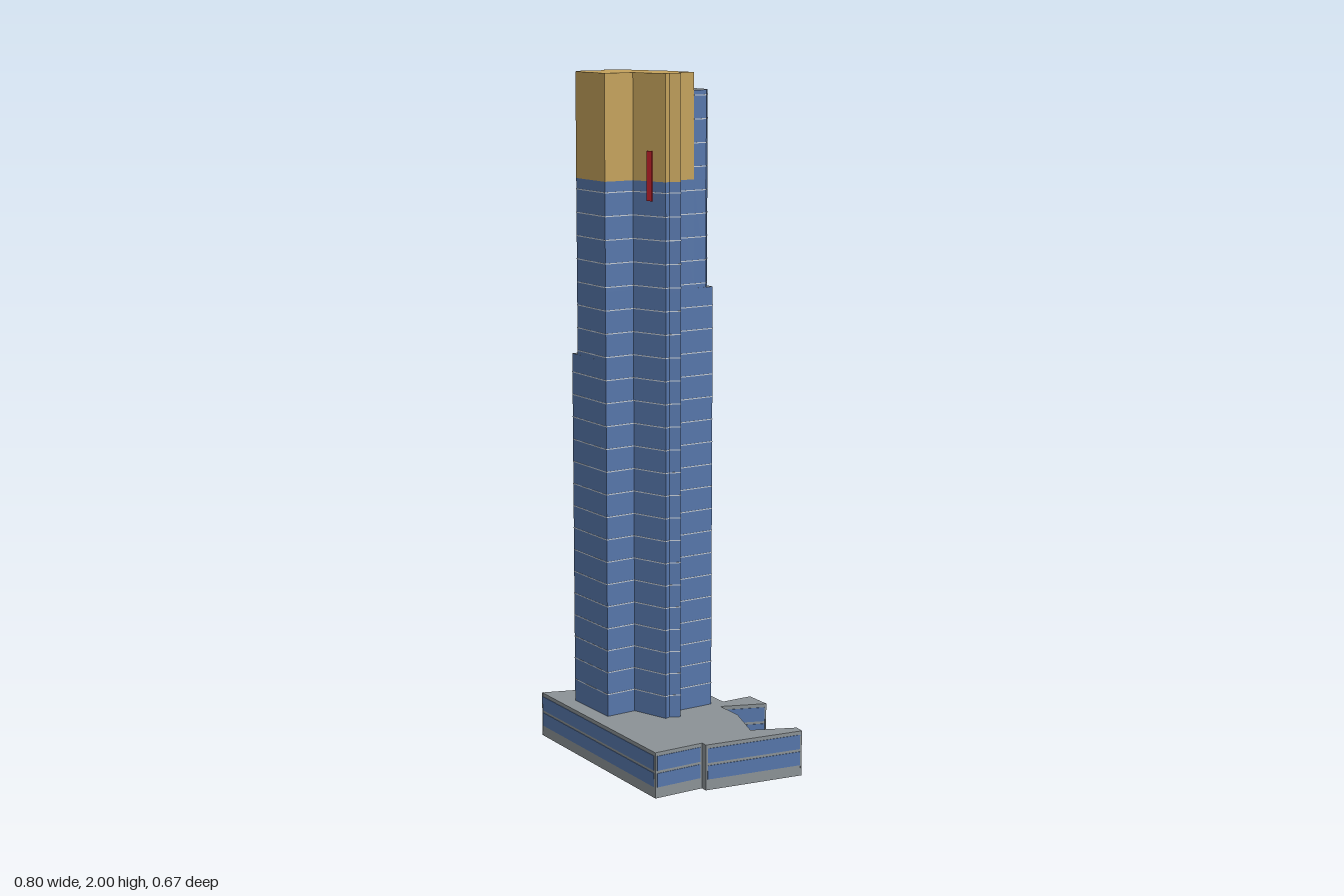
import * as THREE from 'three';
import { mergeGeometries } from 'three/addons/utils/BufferGeometryUtils.js';

const mat = (name, color) => {
  const m = new THREE.MeshStandardMaterial({ color });
  m.name = name;
  return m;
};

// Vertical prism over an outline of [x, z] points.
function prism(outline, y0, y1) {
  const shape = new THREE.Shape(outline.map(([x, z]) => new THREE.Vector2(x, -z)));
  const g = new THREE.ExtrudeGeometry(shape, { depth: y1 - y0, bevelEnabled: false });
  return g.rotateX(-Math.PI / 2).translate(0, y0, 0);
}

// Thin box on the edge a-b, from fraction t0 to t1, lying between offsets o0 and o1 outside the wall.
function plate(a, b, t0, t1, y0, y1, o0, o1, tilt = 0) {
  const dx = b[0] - a[0], dz = b[1] - a[1], len = Math.hypot(dx, dz);
  const t = (t0 + t1) / 2, o = (o0 + o1) / 2;
  return new THREE.BoxGeometry(len * (t1 - t0), y1 - y0, o1 - o0)
    .rotateZ(tilt)
    .rotateY(Math.atan2(-dz, dx))
    .translate(a[0] + dx * t + dz / len * o, (y0 + y1) / 2, a[1] + dz * t - dx / len * o);
}

// Strip running diagonally over the edge a-b from (t0, y0) to (t1, y1).
function diagonal(a, b, t0, t1, y0, y1, width) {
  const len = Math.hypot(b[0] - a[0], b[1] - a[1]);
  const run = (t1 - t0) * len, rise = y1 - y0, tm = (t0 + t1) / 2, ym = (y0 + y1) / 2;
  const half = width / len / 2, l = Math.hypot(run, rise) / 2;
  return plate(a, b, tm - half, tm + half, ym - l, ym + l, -0.001, 0.004, -Math.atan2(run, rise));
}

const edges = (o) => o.map((p, i) => [p, o[(i + 1) % o.length]]);

export function createModel() {
  const root = new THREE.Group();
  const blue = mat('blueGlass', 0x5676aa);
  const gold = mat('goldCladding', 0xc4a25c);
  const grey = mat('greyConcrete', 0x8b9296);
  const pale = mat('paleFloorLine', 0xc4ccd6);
  const red = mat('redSign', 0xc0222a);

  const add = (name, geometry, material, parent = root) => {
    const m = new THREE.Mesh(geometry, material);
    m.name = name;
    parent.add(m);
    return m;
  };

  // Podium: open underneath, thin walls and roof slab
  const podium = new THREE.Group();
  podium.name = 'podium';
  root.add(podium);
  const base = [
    [-0.4, -0.16], [-0.18, -0.236], [-0.051, -0.335], [-0.033, -0.315], [-0.011, -0.334],
    [0.153, -0.132], [0.23, -0.19], [0.283, -0.127], [0.149, -0.086], [0.205, -0.017],
    [0.252, 0.114], [0.384, 0.079], [0.4, 0.105], [0.136, 0.255], [0.124, 0.239], [0.001, 0.333],
  ];
  const H = 0.135;
  add('podiumRoof', prism(base, H - 0.004, H), grey, podium);
  add('podiumWalls', mergeGeometries(
    edges(base).map(([a, b]) => plate(a, b, 0, 1, 0, H, -0.004, 0))), grey, podium);

  // Two rows of windows on every long wall
  const windows = [];
  for (const [a, b] of edges(base)) {
    const len = Math.hypot(b[0] - a[0], b[1] - a[1]);
    if (len < 0.05) continue;
    const inset = 0.006 / len;
    for (const [y0, y1] of [[0.032, 0.073], [0.081, 0.124]])
      windows.push(plate(a, b, inset, 1 - inset, y0, y1, -0.001, 0.0015));
  }
  add('podiumWindows', mergeGeometries(windows), blue, podium);

  // Tower outlines: the west and east corners are cut off higher up
  const north = [[-0.196, -0.178], [-0.209, -0.225], [-0.175, -0.217], [-0.16, -0.234],
    [-0.059, -0.172], [-0.046, -0.18]];
  const south = [[0.068, -0.067], [0.023, -0.032], [0.04, 0.019], [0.008, 0.026],
    [-0.001, 0.039], [-0.1, -0.021], [-0.172, 0.039]];
  const wingBack = [0.018, -0.236];
  const westFull = [[-0.289, -0.099]];
  const westCut = [[-0.27, -0.077], [-0.27, -0.118]];
  const eastFull = [wingBack, [0.119, -0.107]];
  const eastCut = [wingBack, [0.1, -0.133], [0.1, -0.094]];
  const sections = [
    ['lowerTower', [...north, ...eastFull, ...south, ...westFull], H - 0.002, 1.19],
    ['middleTower', [...north, ...eastFull, ...south, ...westCut], 1.19, 1.39],
    ['upperTower', [...north, ...eastCut, ...south, ...westCut], 1.39, 1.7],
    ['eastWingTop', [north[5], ...eastCut, south[0]], 1.7, 1.95],
  ];
  const step = 0.0667;
  for (const [name, outline, y0, y1] of sections) {
    const part = new THREE.Group();
    part.name = name;
    root.add(part);
    add(name + 'Glass', prism(outline, y0, y1), [grey, blue], part);

    // Floor lines
    const lines = [];
    const walls = edges(outline);
    if (name === 'eastWingTop') walls.pop();
    for (let y = H + step; y < y1 - 0.005; y += step) {
      if (y < y0 + 0.005) continue;
      for (const [a, b] of walls)
        lines.push(plate(a, b, 0, 1, y - 0.0015, y + 0.0015, -0.001, 0.0008));
    }
    add(name + 'FloorLines', mergeGeometries(lines), pale, part);
  }

  // Gold crown
  add('crown', prism([...north, ...south, ...westCut], 1.7, 2), gold);

  // Upright signs on the front and back
  add('frontSign', plate(south[4], south[5], 0.4, 0.55, 1.645, 1.785, -0.001, 0.005), red);
  add('backSign', plate(north[3], north[4], 0.23, 0.38, 1.645, 1.785, -0.001, 0.005), red);

  // Slanted strips beside the rear recess
  add('redDiagonal', diagonal(north[5], wingBack, 0.04, 0.8, 0.53, 1.25, 0.006), red);
  add('paleDiagonal', diagonal(north[4], north[3], 0.03, 0.12, 1.41, 1.69, 0.005), pale);

  return root;
}
